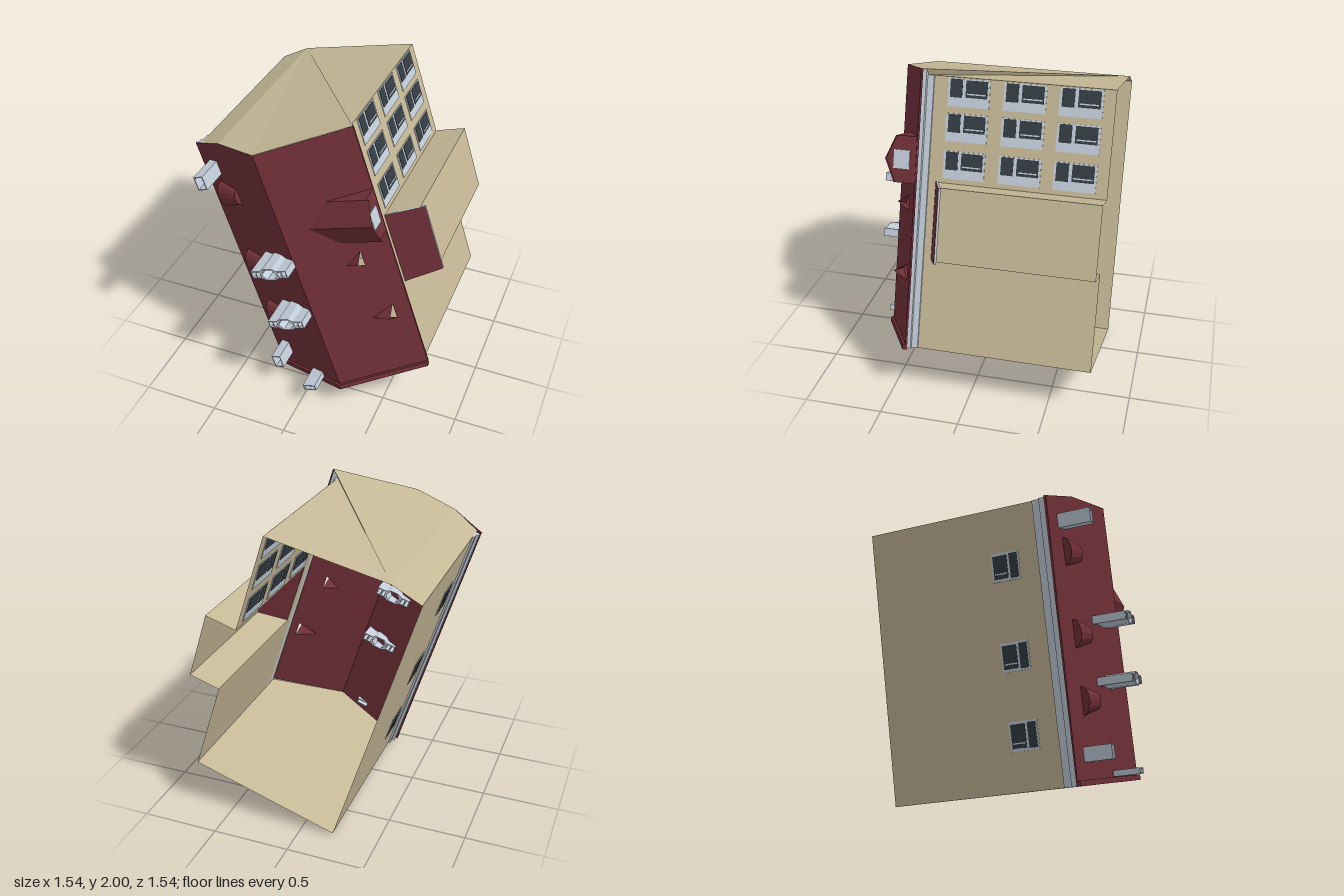
import * as THREE from 'three';

const mat = (name, color) => {
  const m = new THREE.MeshStandardMaterial({ color, side: THREE.DoubleSide });
  m.name = name;
  return m;
};

// Local axes: x across the house, y along its ridge, z up through the roof.
const RIDGE = 0.304, BACK = -0.77, PITCH = 0.42;
const roofZ = (x) => (x < RIDGE ? 0.44 + (x + 0.22) * PITCH : 0.66 - (x - RIDGE) * 0.49);
const outline = (pts) => pts.map(([x, y]) => new THREE.Vector2(x, y));
const rect = (x, y, w, h) => [[x - w / 2, y - h / 2], [x + w / 2, y - h / 2], [x + w / 2, y + h / 2], [x - w / 2, y + h / 2]];

export function createModel() {
  const wall = mat('sandWall', 0xc6b997);
  const red = mat('redRoof', 0x713038);
  const grey = mat('paleTrim', 0xc4cfdb);
  const dark = mat('darkGlass', 0x343d43);

  const house = new THREE.Group();
  house.name = 'house';
  house.rotation.z = THREE.MathUtils.degToRad(17.9);

  const add = (name, geometry, material) => {
    const g = geometry.index ? geometry.toNonIndexed() : geometry;
    g.computeVertexNormals();
    const m = new THREE.Mesh(g, material);
    m.name = name;
    house.add(m);
  };
  // Flat convex polygons joined into one mesh
  const faces = (name, polys, material) => {
    const p = [];
    for (const f of polys) for (let i = 1; i < f.length - 1; i++) p.push(...f[0], ...f[i], ...f[i + 1]);
    const g = new THREE.BufferGeometry();
    g.setAttribute('position', new THREE.Float32BufferAttribute(p, 3));
    add(name, g, material);
  };
  const makeShape = (pts, holes = []) => {
    const s = new THREE.Shape(outline(pts));
    for (const h of holes) s.holes.push(new THREE.Path(outline(h)));
    return s;
  };
  const prism = (name, pts, z0, z1, material, holes) => {
    const g = new THREE.ExtrudeGeometry(makeShape(pts, holes), { depth: z1 - z0, bevelEnabled: false });
    add(name, g.translate(0, 0, z0), material);
  };
  const drape = (g) => {
    const p = g.attributes.position;
    for (let i = 0; i < p.count; i++) p.setZ(i, p.getZ(i) + roofZ(p.getX(i)));
    return g;
  };
  const box = (name, x, y, z, w, h, d, material) =>
    add(name, new THREE.BoxGeometry(w, h, d).translate(x, y, z), material);

  // Shell corners, open at the back
  const BL = [-0.197, 0.08], BR = [0.79, 0.088], TR = [0.78, 1.8], TF = [0.013, 1.866], TL = [-0.184, 1.828];
  const upright = (a, b, za, zb, z0 = BACK) => [[...a, z0], [...b, z0], [...b, zb], [...a, za]];
  const along = (a, b, y) => [a[0] + (b[0] - a[0]) * (y - a[1]) / (b[1] - a[1]), y];
  const A0 = 0.704, A1 = 1.153, AX = 0.99;
  const R0 = along(BR, TR, A0), R1 = along(BR, TR, A1);

  faces('sideWalls', [
    upright(BL, TL, 0.44, 0.45),
    upright(BR, R0, 0.4, 0.4),
    upright(R0, R1, 0.4, 0.4, 0.26),
    upright(R1, TR, 0.4, 0.4),
  ], wall);
  faces('endWalls', [
    [[...BL, BACK], [...BR, BACK], [...BR, 0.4], [RIDGE, 0.079, 0.66], [...BL, roofZ(BL[0])]],
    [[...TF, BACK], [...TR, BACK], [...TR, 0.37], [0.834, 1.835, 0.4], [RIDGE, 1.837, 0.661], [...TF, roofZ(TF[0])]],
    upright(TL, TF, roofZ(TL[0]), roofZ(TF[0])),
  ], wall);

  // Side annex, with its lean-to roof
  const O0 = [AX, A0], O1 = [AX, A1];
  faces('annexWalls', [
    upright(R0, O0, 0.27, 0.2), upright(O0, O1, 0.2, 0.2), upright(O1, R1, 0.2, 0.27),
  ], wall);
  const leanTo = (z) => [[0.787, 0.662, 0.282 + z], [1.023, 0.695, 0.195 + z], [1.023, 1.155, 0.195 + z], [0.787, 1.158, 0.282 + z]];
  const under = leanTo(-0.015), upper = leanTo(0);
  faces('annexRoof', [upper, under], red);
  faces('annexRoofEdge', [0, 1, 2].map((i) => [under[i], under[i + 1], upper[i + 1], upper[i]]), grey);

  // Single chimneys: hollow stacks that pierce the roof
  const leftHoles = [];
  for (const [x, y, w, h, z0, z1] of [
    [-0.108, 1.685, 0.064, 0.09, 0.46, 0.68],
    [-0.125, 0.26, 0.064, 0.09, 0.46, 0.64],
    [0.119, 0.133, 0.09, 0.038, 0.57, 0.735],
  ]) {
    const hole = rect(x, y, w - 0.012, h - 0.012);
    leftHoles.push(z1 === 0.68 ? hole.slice(0, 3) : hole);
    prism('chimney', rect(x, y, w, h), z0, z1, grey, [hole]);
  }
  // Long chimneys: a wide middle with a pair of open flues at each end
  for (const [cx, cy] of [[0.185, 1.08], [0.161, 0.694]]) {
    const half = [[-0.122, 0.026], [-0.058, 0.026], [-0.03, 0.042], [0.03, 0.042], [0.058, 0.026], [0.122, 0.026]];
    const contour = [...half.map(([x, y]) => [cx + x, cy - y]), ...half.map(([x, y]) => [cx - x, cy + y])];
    const middle = [[-0.052, 0], [-0.026, -0.036], [0.026, -0.036], [0.052, 0], [0.026, 0.036], [-0.026, 0.036]]
      .map(([x, y]) => [cx + x, cy + y]);
    const flues = [-0.105, -0.073, 0.073, 0.105].map((x) => rect(cx + x, cy, 0.024, 0.042));
    leftHoles.push(...flues);
    prism('longChimney', contour, 0.53, 0.77, grey, [middle, ...flues]);
  }

  // Small triangular dormers, open to the eave
  const rightHoles = [];
  for (const [x0, y0, x1, y1] of [[0.572, 0.965, 0.668, 0.988], [0.616, 0.548, 0.744, 0.557]]) {
    rightHoles.push([[x0, y0], [x1, y1 - 0.052], [x1, y1 + 0.052]]);
    const tip = [x0, y0, roofZ(x0)], peak = [x1, y1, roofZ(x0) + 0.028];
    faces('smallDormer', [-1, 1].map((s) => [tip, peak, [x1, y1 + s * 0.052, roofZ(x1)]]), red);
  }

  // Main roof slopes
  const left = [[-0.238, 0.08], [RIDGE, 0.08], [RIDGE, 1.835], [0.013, 1.866], [-0.19, 1.838], [-0.217, 1.836]];
  const right = [[RIDGE, 0.08], [0.834, 0.08], [0.834, 1.834], [RIDGE, 1.835]];
  add('leftRoofSlope', drape(new THREE.ShapeGeometry(makeShape(left, leftHoles))), red);
  add('rightRoofSlope', drape(new THREE.ShapeGeometry(makeShape(right, rightHoles))), red);
  for (const [a, b] of [[-0.238, RIDGE], [RIDGE, 0.834]]) {
    const strip = makeShape([[a, 0.079], [b, 0.079], [b, 0.112], [a, 0.112]]);
    add('bargeBoard', drape(new THREE.ExtrudeGeometry(strip, { depth: 0.018, bevelEnabled: false })), red);
  }
  faces('eaveFascia', [
    upright([0.834, 0.08], [0.834, 1.834], 0.4, 0.4, 0.388),
    upright([-0.238, 0.08], [-0.217, 1.836], 0.433, 0.441, 0.425),
  ], red);

  // Stepped cornices under both eaves
  const cornice = (p, q, out, z0, z1) =>
    prism('cornice', [p, q, [q[0] + out, q[1]], [p[0] + out, p[1]]], z0, z1, grey);
  cornice(BR, TR, 0.012, 0.33, 0.37);
  cornice(BR, [0.785, 1.832], 0.036, 0.37, 0.396);
  cornice(BL, TL, -0.012, 0.34, 0.39);
  cornice(BL, TL, -0.028, 0.39, 0.428);

  // Half-round dormers lying on the left slope
  for (const y of [1.495, 0.986, 0.578]) {
    const g = new THREE.CylinderGeometry(0.052, 0.09, 0.14, 6, 1, false, -Math.PI / 2, Math.PI);
    g.rotateZ(-Math.PI / 2).scale(1, 1, 0.65).rotateY(-Math.atan(PITCH));
    add('roundedDormer', g.translate(-0.05, y, roofZ(-0.05)), red);
  }

  // Large gabled dormer above the annex
  const DY = 1.28, HW = 0.145, FX = 0.86, WX = 0.838;
  for (const s of [-1, 1]) {
    const e = DY + s * HW;
    faces('gableDormerSide', [
      [[0.446, DY, 0.59], [FX, DY, 0.59], [FX, e, 0.527], [0.575, e, 0.527]],
      [[0.575, e, 0.527], [WX, e, 0.527], [WX, e, 0.4]],
    ], red);
  }
  faces('gableDormerFront', [[
    [WX, DY - HW, 0.4], [WX, DY + HW, 0.4], [WX, DY + HW, 0.527], [WX, DY, 0.589], [WX, DY - HW, 0.527],
  ]], red);
  box('gableDormerWindow', WX + 0.003, DY, 0.49, 0.008, 0.115, 0.1, grey);

  // Windows: pale surround with a narrow and a wide dark pane, seen from both sides
  const paneWindow = (x, y, z, out, fh, fw, gh, gw, dy) => {
    box('windowSurround', x, y, z, 0.009, fh, fw, grey);
    for (const side of [out, -out]) {
      const px = x + side * 0.003;
      box('narrowPane', px, y + dy, z + gw * 0.335, 0.008, gh, gw * 0.33, dark);
      box('widePane', px, y + dy, z - gw * 0.21, 0.008, gh * 0.94, gw * 0.58, dark);
    }
    box('windowBar', x + out * 0.006, y + dy - gh * 0.28, z - gw * 0.21, 0.006, 0.008, gw * 0.5, grey);
  };
  for (const y of [1.708, 1.497, 1.268])
    for (const z of [0.112, -0.232, -0.568])
      paneWindow(along(BR, TR, y)[0], y, z, 1, 0.17, 0.258, 0.11, 0.23, 0.025);
  for (const y of [1.455, 0.895, 0.415])
    paneWindow(along(BL, TL, y)[0], y, 0.125, -1, 0.18, 0.18, 0.155, 0.16, 0);

  const model = new THREE.Group();
  model.name = 'tiltedHouse';
  model.add(house);
  return model;
}
